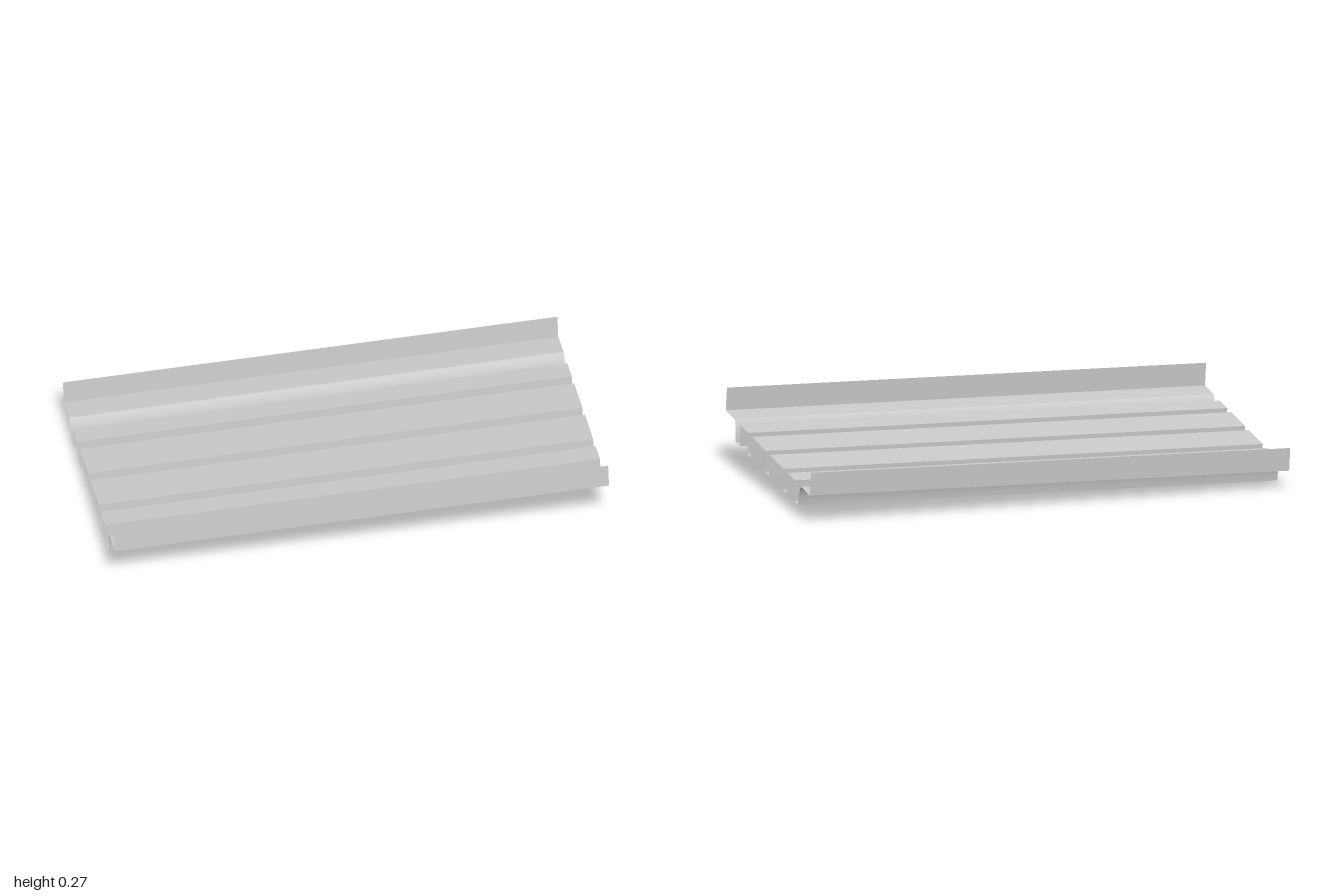
import * as THREE from 'three';
import { toCreasedNormals } from 'three/addons/utils/BufferGeometryUtils.js';

const LENGTH = 1.75, DEPTH = 0.076, FLANGE = 0.083, HALF = 0.486;
const material = new THREE.MeshStandardMaterial({ color: 0xcccccc, side: THREE.DoubleSide });

// Sweeps a [z, y] profile along x, facing up
function sweep(profile, length) {
  const pos = [], h = length / 2;
  for (let i = 0; i < profile.length - 1; i++) {
    const [z0, y0] = profile[i], [z1, y1] = profile[i + 1];
    pos.push(-h, y0, z0, -h, y1, z1, h, y1, z1, -h, y0, z0, h, y1, z1, h, y0, z0);
  }
  const g = new THREE.BufferGeometry();
  g.setAttribute('position', new THREE.Float32BufferAttribute(pos, 3));
  return toCreasedNormals(g, 0.6);
}

// Half the cross-section, from the middle channel out to the edge shelf
function halfProfile() {
  const curve = new THREE.QuadraticBezierCurve(
    new THREE.Vector2(0.36, -DEPTH), new THREE.Vector2(0.363, -0.02), new THREE.Vector2(0.386, 0));
  return [
    [0.023, -DEPTH], [0.023, 0],
    [0.182, 0], [0.182, -DEPTH], [0.228, -DEPTH], [0.228, 0],
    [0.313, 0], [0.313, -DEPTH],
    ...curve.getPoints(6).map(p => [p.x, p.y]),
    [HALF, 0],
  ];
}

// Curved fin that stiffens the corner between a channel wall and the plate
function gussetGeometry() {
  const s = new THREE.Shape();
  s.moveTo(0, 0);
  s.lineTo(0.03, 0);
  s.quadraticCurveTo(0.006, -0.008, 0, -0.045);
  s.closePath();
  const g = new THREE.ExtrudeGeometry(s, { depth: 0.008, bevelEnabled: false, curveSegments: 5 });
  g.translate(0, 0, -0.004);
  return g;
}

export function createModel() {
  const panel = new THREE.Group();
  panel.name = 'deckPanel';
  const add = (geometry, name, parent = panel) => {
    const m = new THREE.Mesh(geometry, material);
    m.name = name;
    parent.add(m);
    return m;
  };

  // Ribbed sheet with five channels hanging below the plates
  const half = halfProfile();
  const mirrored = half.map(([z, y]) => [-z, y]).reverse();
  add(sweep([...mirrored, ...half], LENGTH), 'ribbedSheet');

  // Upright flanges on both long edges
  add(sweep([[HALF, 0], [HALF, FLANGE]], LENGTH), 'frontFlange');
  add(sweep([[-HALF, FLANGE], [-HALF, 0]], LENGTH), 'backFlange');

  // Three rows of stiffeners, a pair under each plate
  const fin = gussetGeometry();
  const walls = [[0.023, 1], [0.182, -1], [0.228, 1], [0.313, -1]];
  for (const x of [-0.59, 0, 0.59]) {
    const row = new THREE.Group();
    row.name = 'stiffenerRow';
    row.position.x = x;
    panel.add(row);
    for (const side of [1, -1]) for (const [z, dir] of walls) {
      const m = add(fin, 'stiffener', row);
      m.position.z = side * z;
      m.rotation.y = side * dir > 0 ? -Math.PI / 2 : Math.PI / 2;
    }
  }

  // Turned and slightly tilted pose
  panel.rotation.set(-0.083, Math.PI / 8, 0.023, 'YZX');
  const model = new THREE.Group();
  model.name = 'ribbedDeck';
  model.add(panel);
  model.updateMatrixWorld(true);
  const box = new THREE.Box3().setFromObject(model, true);
  const c = box.getCenter(new THREE.Vector3());
  panel.position.set(-c.x, -box.min.y, -c.z);
  return model;
}
